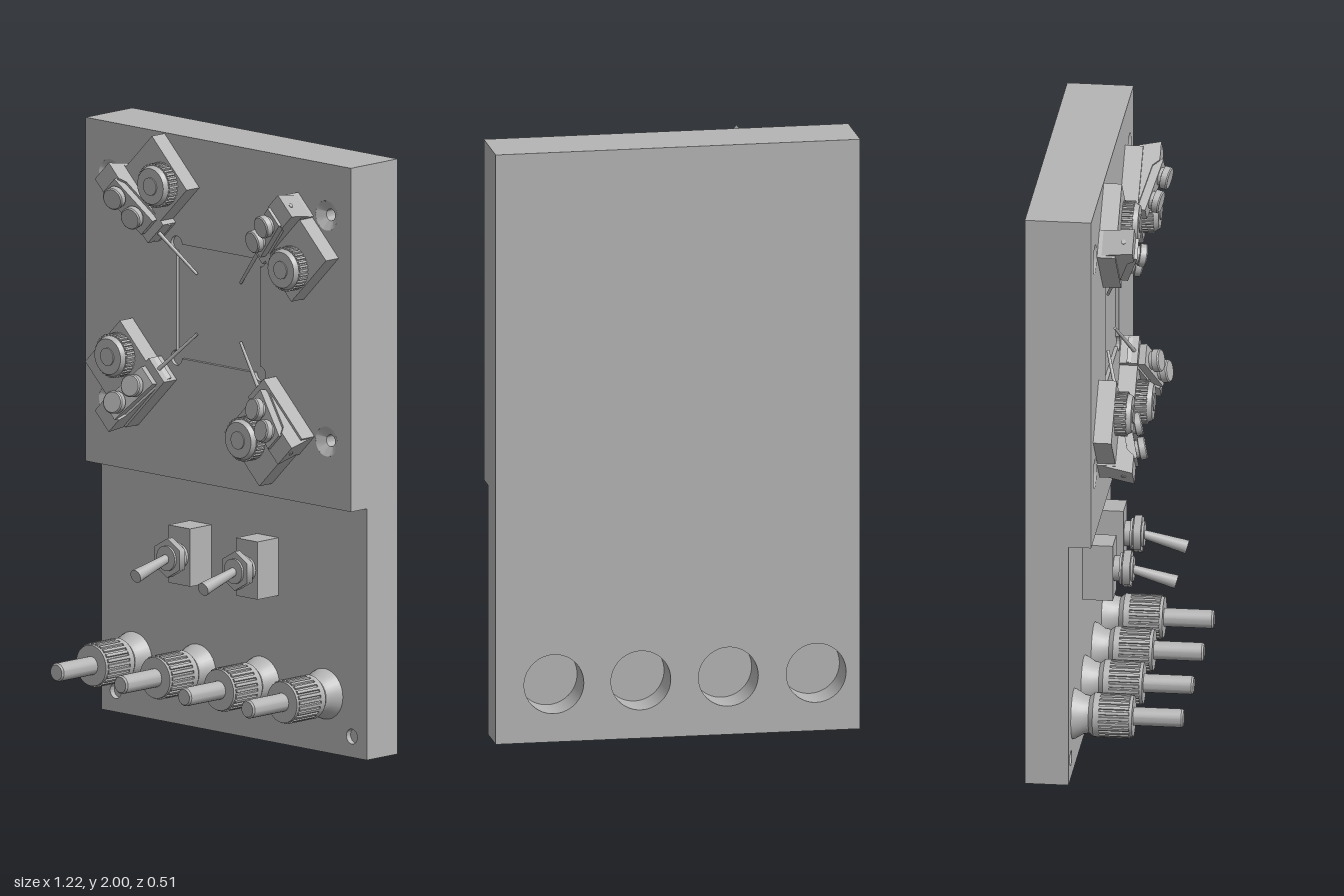
import * as THREE from 'three';
import { toCreasedNormals } from 'three/addons/utils/BufferGeometryUtils.js';

const grey = new THREE.MeshStandardMaterial({ color: 0xb4b4b4, side: THREE.DoubleSide });
grey.name = 'grey';

function add(parent, name, geometry, x = 0, y = 0, z = 0) {
  const mesh = new THREE.Mesh(geometry, grey);
  mesh.name = name;
  mesh.position.set(x, y, z);
  parent.add(mesh);
  return mesh;
}

const extrude = (shape, depth) => toCreasedNormals(
  new THREE.ExtrudeGeometry(shape, { depth, bevelEnabled: false, curveSegments: 28 }), 0.6);

// Lathe profile of [radius, z] pairs, turned about the z axis
const turned = (points, sides = 32) => toCreasedNormals(
  new THREE.LatheGeometry(points.map(p => new THREE.Vector2(...p)), sides).rotateX(Math.PI / 2), 0.5);

// Round disc or rod standing along z from z = 0
const disc = (r, h, sides = 28) =>
  new THREE.CylinderGeometry(r, r, h, sides).rotateX(Math.PI / 2).translate(0, 0, h / 2);

// Rod between two points
function rod(parent, name, a, b, ra, rb) {
  const from = new THREE.Vector3(...a), to = new THREE.Vector3(...b);
  const dir = to.clone().sub(from);
  const mesh = add(parent, name, new THREE.CylinderGeometry(rb, ra, dir.length(), 16));
  mesh.position.copy(from).add(to).multiplyScalar(0.5);
  mesh.quaternion.setFromUnitVectors(new THREE.Vector3(0, 1, 0), dir.normalize());
}

function rect(x0, y0, x1, y1) {
  return new THREE.Shape([[x0, y0], [x1, y0], [x1, y1], [x0, y1]].map(p => new THREE.Vector2(...p)));
}

function circleHole(shape, x, y, r) {
  const path = new THREE.Path();
  path.absarc(x, y, r, 0, Math.PI * 2, true);
  shape.holes.push(path);
}

// Knurled wheel with square teeth
function knurl(r, h, teeth) {
  const points = [];
  for (let i = 0; i < teeth; i++) {
    [[0, r], [0.5, r], [0.6, r * 0.93], [0.9, r * 0.93]].forEach(([f, rr]) => {
      const a = (i + f) / teeth * Math.PI * 2;
      points.push(new THREE.Vector2(Math.cos(a) * rr, Math.sin(a) * rr));
    });
  }
  return extrude(new THREE.Shape(points), h);
}

const W = 0.61, STEP = 0.845, CY = 1.443, POST_Y = 0.196;
const POST_X = [-0.463, -0.169, 0.124, 0.415];

function board(root) {
  const g = new THREE.Group();
  g.name = 'board';
  // Back layer with the four round pockets
  const back = rect(-W, 0, W, 2);
  POST_X.forEach(x => circleHole(back, x, POST_Y, 0.1));
  add(g, 'backLayer', extrude(back, 0.125), 0, 0, -0.255);
  // Thin lower face with two small holes
  const lower = rect(-W, 0, W, STEP);
  [-0.545, 0.541].forEach(x => circleHole(lower, x, 0.07, 0.025));
  add(g, 'lowerFace', extrude(lower, 0.02), 0, 0, -0.13);
  // Raised upper face with countersunk holes and a shallow square pocket
  const upper = rect(-W, STEP, W, 2), skin = rect(-W, STEP, W, 2);
  const sink = turned([[0.05, 0], [0.02, -0.02], [0.02, -0.09], [0, -0.09]]);
  for (const x of [-0.498, 0.498]) for (const y of [1.066, 1.825]) {
    circleHole(upper, x, y, 0.05);
    circleHole(skin, x, y, 0.05);
    add(g, 'countersunkHole', sink, x, y, -0.035);
  }
  const pocket = new THREE.Path(), s = 0.192;
  for (let k = 0; k < 4; k++) {
    const a = k * Math.PI / 2, c = Math.PI / 4 + a;
    pocket.absarc(Math.cos(c) * s * Math.SQRT2, CY + Math.sin(c) * s * Math.SQRT2,
      0.025, a - Math.PI / 2, a + Math.PI, false);
  }
  pocket.closePath();
  skin.holes.push(pocket);
  add(g, 'upperBody', extrude(upper, 0.083), 0, 0, -0.13);
  add(g, 'upperFace', extrude(skin, 0.012), 0, 0, -0.047);
  root.add(g);
}

function bindingPost(root, x) {
  const g = new THREE.Group();
  g.name = 'bindingPost';
  g.position.set(x, POST_Y, 0);
  add(g, 'flaredCollar', turned([[0, -0.11], [0.085, -0.11], [0.082, -0.1], [0.066, -0.075],
    [0.062, -0.055], [0.074, -0.04], [0.074, -0.02], [0.066, -0.02]]));
  add(g, 'knurledGrip', knurl(0.074, 0.1, 24), 0, 0, -0.02);
  add(g, 'gripRim', disc(0.069, 0.01), 0, 0, 0.08);
  add(g, 'pin', turned([[0.031, 0.09], [0.031, 0.249], [0.026, 0.255], [0, 0.255]], 24));
  root.add(g);
}

function toggleSwitch(root, x) {
  const g = new THREE.Group();
  g.name = 'toggleSwitch';
  g.position.set(x, 0.594, 0);
  add(g, 'switchBody', new THREE.BoxGeometry(0.1, 0.194, 0.1), 0, 0, -0.06);
  add(g, 'threadedBush', disc(0.042, 0.065), 0, 0, -0.01);
  add(g, 'washer', disc(0.053, 0.008), 0, 0, 0.01);
  add(g, 'hexNut', disc(0.066, 0.025, 6), 0, 0, 0.022);
  rod(g, 'lever', [0, 0.002, 0.04], [0, -0.04, 0.196], 0.014, 0.023);
  root.add(g);
}

// Probe positioner: local x runs outward from the middle of the pocket
function positioner(root, k) {
  const g = new THREE.Group();
  g.name = 'probePositioner';
  g.position.y = CY;
  g.rotation.z = Math.PI / 4 + k * Math.PI / 2;
  add(g, 'basePlate', new THREE.BoxGeometry(0.226, 0.226, 0.06), 0.453, -0.104, -0.005);
  add(g, 'armFoot', new THREE.BoxGeometry(0.25, 0.1, 0.06), 0.448, 0.003, -0.005);
  add(g, 'knob', knurl(0.074, 0.038, 32), 0.424, -0.139, 0.025);
  add(g, 'knobCap', turned([[0.068, 0], [0.06, 0.016], [0, 0.016]]), 0.424, -0.139, 0.063);
  add(g, 'knobHub', disc(0.03, 0.004), 0.424, -0.139, 0.079);
  // Wedge-shaped arm, sloping down toward the pocket
  const side = (points, width) => extrude(new THREE.Shape(points.map(p => new THREE.Vector2(...p))), width)
    .translate(0, 0, -width / 2).rotateX(Math.PI / 2);
  add(g, 'arm', side([[0.57, -0.035], [0.595, 0.083], [0.53, 0.083], [0.51, 0.06], [0.33, 0.015],
    [0.315, -0.01], [0.4, -0.02]], 0.09));
  add(g, 'clampPlate', side([[0.54, 0.06], [0.535, 0.094], [0.35, 0.048], [0.355, 0.015]], 0.074));
  add(g, 'pivotPin', new THREE.CylinderGeometry(0.008, 0.008, 0.004, 12).rotateZ(Math.PI / 2), 0.589, 0, 0.05);
  // Clamp screws
  [[0.491, 0.08], [0.405, 0.059]].forEach(([x, z]) => {
    const screw = add(g, 'clampScrew', turned([[0.03, 0], [0.03, 0.012], [0.038, 0.014],
      [0.038, 0.034], [0.034, 0.038], [0, 0.038]], 24), x, 0, z);
    screw.rotation.y = -0.245;
  });
  rod(g, 'needle', [0.36, 0, 0.02], [0.142, 0, -0.038], 0.007, 0.005);
  root.add(g);
}

export function createModel() {
  const root = new THREE.Group();
  root.name = 'probeTestBoard';
  board(root);
  POST_X.forEach(x => bindingPost(root, x));
  [-0.155, 0.155].forEach(x => toggleSwitch(root, x));
  for (let k = 0; k < 4; k++) positioner(root, k);
  return root;
}
